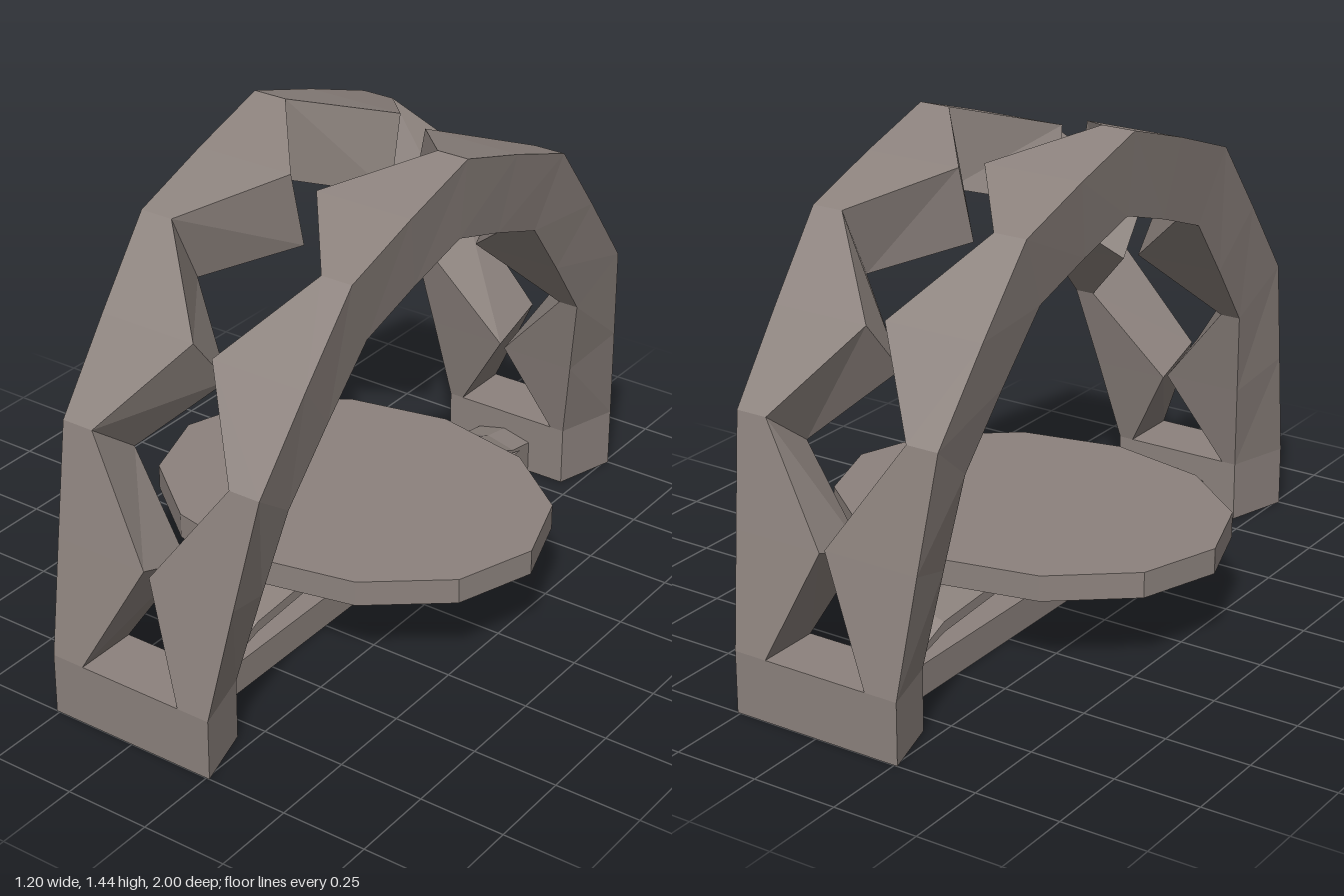
import * as THREE from 'three';

const material = new THREE.MeshStandardMaterial({ color: 0x8c827d, flatShading: true });

// Joins a row of equal-sized closed cross-sections; flip reverses the winding.
function loft(sections, flip, capped) {
  const pos = [];
  const tri = (a, b, c) => pos.push(...a, ...(flip ? [...c, ...b] : [...b, ...c]));
  const n = sections[0].length;
  for (let i = 0; i < sections.length - 1; i++) {
    const p = sections[i], q = sections[i + 1];
    for (let j = 0; j < n; j++) {
      const k = (j + 1) % n;
      tri(p[j], q[j], q[k]);
      tri(p[j], q[k], p[k]);
    }
  }
  if (capped) {
    const first = sections[0], last = sections[sections.length - 1];
    for (let j = 1; j < n - 1; j++) {
      tri(first[0], first[j], first[j + 1]);
      tri(last[0], last[j + 1], last[j]);
    }
  }
  const g = new THREE.BufferGeometry();
  g.setAttribute('position', new THREE.Float32BufferAttribute(pos, 3));
  g.computeVertexNormals();
  return g;
}

// Repeats front-half stations on the back half, with z reversed.
const mirrorZ = (half) => [
  ...half,
  ...half.slice(0, -1).reverse().map((s) => s.map(([x, y, z]) => [x, y, -z])),
];

// Arch stations, front foot to crown: outer z, y and inner z, y.
const ARCH = [
  [1, 0.18, 0.81, 0.18],
  [0.865, 0.81, 0.7, 0.675],
  [0.5, 1.265, 0.4, 1.045],
  [0, 1.43, 0, 1.18],
];

// How far the outer side leans in towards the inside of the arch.
const INSET = [0.055, 0.035, 0.025, 0.02];

// One arched rib whose inner edge is notched at stations and toothed between.
function ribGeometry({ side, outer, notch, tooth, lift, innerLift }) {
  const half = [];
  const section = (xo, xoIn, xi, xiIn, [zo, yo, zi, yi]) =>
    half.push([[xo, yo, zo], [xi, yo, zo], [xiIn, yi, zi], [xoIn, yi, zi]]);
  const station = (i) => {
    const [zo, yo, zi, yi] = ARCH[i];
    return i > 0 ? [zo, yo + lift, zi, yi + innerLift] : ARCH[i];
  };
  const inner = outer.map((x, i) => x - side * INSET[i]);
  for (let i = 0; i < ARCH.length; i++) {
    const here = station(i);
    section(outer[i], inner[i], notch[i], notch[i], here);
    if (i < ARCH.length - 1) {
      const next = station(i + 1);
      const mid = here.map((v, k) => (v + next[k]) / 2 + (k % 2) * 0.005);
      section((outer[i] + outer[i + 1]) / 2, (inner[i] + inner[i + 1]) / 2,
        tooth[i], tooth[i] * 0.82, mid);
    }
  }
  return loft(mirrorZ(half), side < 0, false);
}

export function createModel() {
  const model = new THREE.Group();
  const add = (name, geometry, x = 0, y = 0, z = 0) => {
    const mesh = new THREE.Mesh(geometry, material);
    mesh.name = name;
    mesh.position.set(x, y, z);
    model.add(mesh);
    return mesh;
  };

  // Toothed arch ribs
  add('leftRib', ribGeometry({
    side: 1,
    outer: [0.26, 0.335, 0.355, 0.365],
    notch: [0.16, 0.24, 0.26, 0.27],
    tooth: [0.025, 0.05, 0.062],
    lift: -0.015,
    innerLift: 0.002,
  }));
  add('rightRib', ribGeometry({
    side: -1,
    outer: [-0.26, -0.302, -0.32, -0.328],
    notch: [-0.16, -0.205, -0.22, -0.225],
    tooth: [0.008, -0.01, -0.02],
    lift: 0.01,
    innerLift: 0.022,
  }));

  // Tapered foot blocks joining the ribs, front and back
  for (const [name, s] of [['frontFoot', 1], ['backFoot', -1]]) {
    const plan = (y) => [
      [0.26, y, s], [0.205, y, 0.81 * s], [-0.205, y, 0.81 * s], [-0.26, y, s],
    ];
    add(name, loft([plan(0), plan(0.18)], s > 0, true));
  }

  // Straight bar along the ground between the feet
  add('groundBar', new THREE.BoxGeometry(0.18, 0.095, 1.64), -0.005, 0.0475, 0);

  // Bowed beam with a ridged top: z, ridge y, underside y
  const bow = [[0.82, 0.12, 0.08], [0.72, 0.137, 0.105], [0.56, 0.203, 0.15], [0, 0.24, 0.19]]
    .map(([z, top, bottom]) => {
      const side = Math.max(top - 0.022, bottom + 0.005);
      return [[-0.09, bottom, z], [-0.09, side, z], [0, top, z], [0.09, side, z], [0.09, bottom, z]];
    });
  add('bowedBeam', loft(mirrorZ(bow), true, true), -0.005);

  // Oval twelve-sided seat plate
  const seat = add('seat', new THREE.CylinderGeometry(1, 1, 0.075, 12), 0, 0.272, 0);
  seat.scale.set(0.6, 1, 0.473);

  return model;
}
